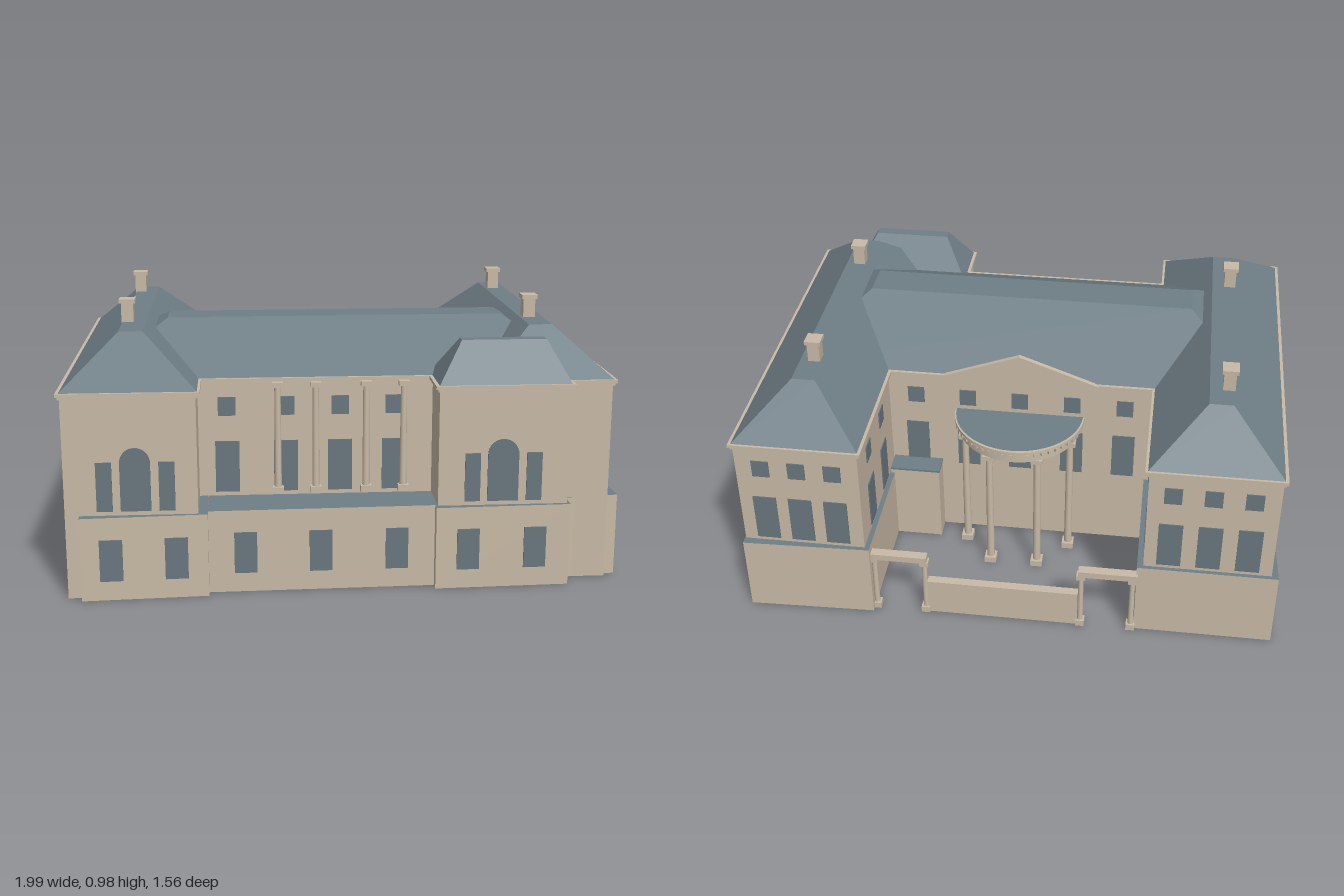
import * as THREE from 'three';

const stone = new THREE.MeshStandardMaterial({ color: 0xc8baa6, side: THREE.DoubleSide });
stone.name = 'stone';
const slate = new THREE.MeshStandardMaterial({ color: 0x6f7e86, side: THREE.DoubleSide });
slate.name = 'slate';
const glass = new THREE.MeshStandardMaterial({ color: 0x69767f });
glass.name = 'glass';

export function createModel() {
  const model = new THREE.Group();
  model.name = 'mansion';

  const add = (name, geo, mat, x = 0, y = 0, z = 0) => {
    const m = new THREE.Mesh(geo, mat);
    m.name = name;
    m.position.set(x, y, z);
    model.add(m);
    return m;
  };
  // Box given by its limits
  const block = (name, mat, x0, x1, y0, y1, z0, z1) =>
    add(name, new THREE.BoxGeometry(x1 - x0, y1 - y0, z1 - z0), mat, (x0 + x1) / 2, (y0 + y1) / 2, (z0 + z1) / 2);

  // Flat horizontal cap over a plan outline
  const cap = (name, pts, y, mat) => {
    const shape = new THREE.Shape(pts.map(p => new THREE.Vector2(p[0], p[1])));
    add(name, new THREE.ShapeGeometry(shape).rotateX(Math.PI / 2), mat, 0, y, 0);
  };
  // Open-bottomed walls around a plan outline of [x, z] corners
  const walls = (name, pts, y1) => {
    const pos = [];
    pts.forEach((a, i) => {
      const b = pts[(i + 1) % pts.length];
      pos.push(a[0], 0, a[1], b[0], 0, b[1], b[0], y1, b[1]);
      pos.push(a[0], 0, a[1], b[0], y1, b[1], a[0], y1, a[1]);
    });
    const g = new THREE.BufferGeometry();
    g.setAttribute('position', new THREE.Float32BufferAttribute(pos, 3));
    g.computeVertexNormals();
    add(name, g, stone);
    cap(name + 'Ceiling', pts, 0.292, stone);
  };
  const rect = (x0, x1, z0, z1) => [[x0, z1], [x1, z1], [x1, z0], [x0, z0]];

  // Hipped roof: a box whose top face is drawn in to the ridge rectangle
  const hip = (name, base, y0, top, y1) => {
    const g = new THREE.BoxGeometry(1, 1, 1).toNonIndexed();
    const p = g.attributes.position;
    for (let i = 0; i < p.count; i++) {
      const r = p.getY(i) > 0 ? top : base;
      p.setXYZ(i, p.getX(i) < 0 ? r[0] : r[1], p.getY(i) > 0 ? y1 : y0, p.getZ(i) < 0 ? r[2] : r[3]);
    }
    g.computeVertexNormals();
    add(name, g, slate);
  };

  // Window plates along a wall from a to b, at coordinates on its longer axis
  const windows = (name, a, b, coords, w, y0, y1, arched = false) => {
    const dx = b[0] - a[0], dz = b[1] - a[1];
    const k = Math.abs(dx) > Math.abs(dz) ? 0 : 1;
    const h = y1 - y0, s = new THREE.Shape();
    s.moveTo(-w / 2, 0);
    s.lineTo(w / 2, 0);
    if (arched) s.absarc(0, h - w / 2, w / 2, 0, Math.PI, false);
    else s.lineTo(w / 2, h).lineTo(-w / 2, h);
    const g = new THREE.ExtrudeGeometry(s, { depth: 0.007, bevelEnabled: false, curveSegments: 8 });
    g.translate(0, 0, -0.003);
    for (const c of coords) {
      const t = (c - a[k]) / (b[k] - a[k]);
      add(name, g, glass, a[0] + dx * t, y0, a[1] + dz * t).rotation.y = Math.atan2(-dz, dx);
    }
  };
  const upperWindows = (name, a, b, coords) => {
    windows(name + 'TallWindow', a, b, coords, 0.086, 0.315, 0.503);
    windows(name + 'SmallWindow', a, b, coords, 0.063, 0.597, 0.665);
  };

  // Ground storey, slightly out of square
  const lowLeft = [[-0.92, 0.777], [-0.48, 0.755], [-0.49, -0.74], [-0.995, -0.74]];
  const lowRight = [[0.32, 0.742], [0.80, 0.728], [0.80, 0.66], [0.995, 0.63], [0.955, -0.785], [0.487, -0.77], [0.487, 0.5], [0.32, 0.5]];
  const terrace = [[-0.48, 0.722], [0.32, 0.707], [0.32, 0.5], [-0.48, 0.5]];
  for (const [name, pts] of [['lowerWestWing', lowLeft], ['lowerEastWing', lowRight], ['terrace', terrace]]) {
    walls(name, pts, 0.3);
    cap(name + 'Top', pts, 0.3, slate);
  }

  // Full-height blocks with cornices
  const blocks = [
    ['westWing', -0.97, -0.512, -0.725, 0.745],
    ['eastWing', 0.505, 0.952, -0.755, 0.655],
    ['centre', -0.53, 0.52, -0.228, 0.54],
    ['bay', 0.328, 0.79, 0.4, 0.715],
  ];
  for (const [name, x0, x1, z0, z1] of blocks) {
    walls(name + 'Walls', rect(x0, x1, z0, z1), 0.72);
    block(name + 'LowerCornice', stone, x0 - 0.007, x1 + 0.007, 0.712, 0.722, z0 - 0.007, z1 + 0.007);
    block(name + 'UpperCornice', stone, x0 - 0.014, x1 + 0.014, 0.722, 0.734, z0 - 0.012, z1 + 0.012);
  }

  // Roofs
  hip('westRoof', [-0.975, -0.505, -0.73, 0.75], 0.732, [-0.785, -0.70, -0.54, 0.507], 0.9);
  hip('eastRoof', [0.5, 0.958, -0.76, 0.66], 0.732, [0.685, 0.77, -0.57, 0.47], 0.9);
  hip('centreRoof', [-0.9, 0.9, -0.232, 0.545], 0.732, [-0.625, 0.625, 0.085, 0.228], 0.9);
  hip('bayRoof', [0.325, 0.793, 0.47, 0.72], 0.732, [0.415, 0.715, 0.583, 0.628], 0.877);

  // Chimneys
  for (const x of [-0.767, 0.718]) for (const z of [-0.427, 0.293]) {
    block('chimney', stone, x - 0.022, x + 0.022, 0.87, 0.972, z - 0.024, z + 0.024);
    block('chimneyCap', stone, x - 0.029, x + 0.029, 0.969, 0.984, z - 0.03, z + 0.03);
  }

  // Columns with square base and capital
  const column = (name, x, z, y0, y1, r) => {
    const b = r * 1.5;
    block(name + 'Base', stone, x - b, x + b, y0, y0 + 0.025, z - b, z + b);
    add(name + 'Shaft', new THREE.CylinderGeometry(r * 0.85, r, y1 - y0, 12), stone, x, (y0 + y1) / 2, z);
    block(name + 'Capital', stone, x - b, x + b, y1 - 0.018, y1, z - b, z + b);
  };
  for (const x of [-0.229, -0.093, 0.088, 0.223]) column('frontColumn', x, 0.552, 0.31, 0.72, 0.013);

  // Half-round rear portico
  const pz = -0.232;
  const halfDisc = (r, h) => new THREE.CylinderGeometry(r, r, h, 24, 1, false, Math.PI / 2, Math.PI);
  const arc = (inner, outer, h) => {
    const s = new THREE.Shape();
    s.absarc(0, 0, outer, 0, Math.PI, false);
    s.absarc(0, 0, inner, Math.PI, 0, true);
    return new THREE.ExtrudeGeometry(s, { depth: h, bevelEnabled: false, curveSegments: 24 }).rotateX(-Math.PI / 2);
  };
  add('porticoRoof', halfDisc(0.235, 0.012), slate, 0, 0.572, pz);
  add('porticoBeam', arc(0.195, 0.232, 0.05), stone, 0, 0.52, pz);
  add('porticoCornice', arc(0.205, 0.248, 0.012), stone, 0, 0.565, pz);
  cap('porticoTop', Array.from({ length: 25 }, (_, i) =>
    [0.243 * Math.cos(i * Math.PI / 24), pz - 0.243 * Math.sin(i * Math.PI / 24)]), 0.581, slate);
  for (let i = 0; i <= 24; i++) {
    const a = (i / 24 - 0.5) * 2.9;
    const d = add('porticoDentil', new THREE.BoxGeometry(0.012, 0.014, 0.012), stone,
      0.241 * Math.sin(a), 0.556, pz - 0.241 * Math.cos(a));
    d.rotation.y = -a;
  }
  for (const deg of [-70, -25, 25, 70]) {
    const a = deg * Math.PI / 180;
    column('porticoColumn', 0.214 * Math.sin(a), pz - 0.214 * Math.cos(a), 0, 0.522, 0.015);
  }

  // Rear gable
  const gable = new THREE.Shape([[-0.3, 0.73], [0.3, 0.73], [0, 0.84]].map(p => new THREE.Vector2(...p)));
  add('rearGable', new THREE.ExtrudeGeometry(gable, { depth: 0.018, bevelEnabled: false }), stone, 0, 0, -0.243);

  // Rear annex in the court corner
  block('annex', stone, 0.31, 0.5, 0, 0.32, -0.308, -0.22);
  block('annexRoof', slate, 0.307, 0.5, 0.32, 0.328, -0.312, -0.22);

  // Court wall and side gateways
  block('courtWall', stone, -0.28, 0.28, 0, 0.14, -0.745, -0.722);
  block('courtWallCoping', stone, -0.28, 0.28, 0.14, 0.152, -0.75, -0.717);
  for (const s of [-1, 1]) {
    for (const x of [0.29, 0.478]) column('gateColumn', s * x, -0.737, 0, 0.245, 0.011);
    block('gateBeam', stone, s * 0.388 - 0.108, s * 0.388 + 0.108, 0.243, 0.268, -0.755, -0.72);
  }

  // Front windows
  const front = z => [[-1, z], [1, z]];
  const [, , , , wz] = blocks[0], [, , , , bz] = blocks[3], [, , , , cz] = blocks[2];
  upperWindows('centre', ...front(cz), [-0.41, -0.2, -0.005, 0.19]);
  windows('westArchedWindow', ...front(wz), [-0.725], 0.105, 0.315, 0.54, true);
  windows('westSideWindow', ...front(wz), [-0.832, -0.617], 0.055, 0.315, 0.49);
  windows('bayArchedWindow', ...front(bz), [0.557], 0.11, 0.315, 0.54, true);
  windows('baySideWindow', ...front(bz), [0.449, 0.668], 0.055, 0.315, 0.49);
  windows('lowerFrontWindow', lowLeft[0], lowLeft[1], [-0.815, -0.59], 0.08, 0.07, 0.22);
  windows('lowerFrontWindow', terrace[0], terrace[1], [-0.35, -0.085, 0.185], 0.08, 0.07, 0.22);
  windows('lowerFrontWindow', lowRight[0], lowRight[1], [0.435, 0.675], 0.08, 0.07, 0.22);

  // Outer side windows
  const sideZ = [0.563, 0.361, 0.164, -0.046, -0.248, -0.45, -0.65], lowZ = [0.49, 0.21, -0.075, -0.357, -0.67];
  upperWindows('eastSide', [0.952, 1], [0.952, -1], sideZ);
  upperWindows('westSide', [-0.97, -1], [-0.97, 1], sideZ.map(z => z + 0.05));
  windows('lowerEastWindow', lowRight[3], lowRight[4], lowZ, 0.077, 0.07, 0.22);
  windows('lowerWestWindow', lowLeft[3], lowLeft[0], lowZ.map(z => z + 0.08), 0.077, 0.07, 0.22);

  // Rear and court windows
  upperWindows('westRear', [1, -0.725], [-1, -0.725], [-0.88, -0.74, -0.6]);
  upperWindows('eastRear', [1, -0.755], [-1, -0.755], [0.6, 0.73, 0.86]);
  upperWindows('centreRear', [1, -0.228], [-1, -0.228], [-0.4, -0.2, 0, 0.2, 0.4]);
  upperWindows('westCourt', [-0.512, 1], [-0.512, -1], [-0.6, -0.39]);
  upperWindows('eastCourt', [0.505, -1], [0.505, 1], [-0.6, -0.39]);

  return model;
}
